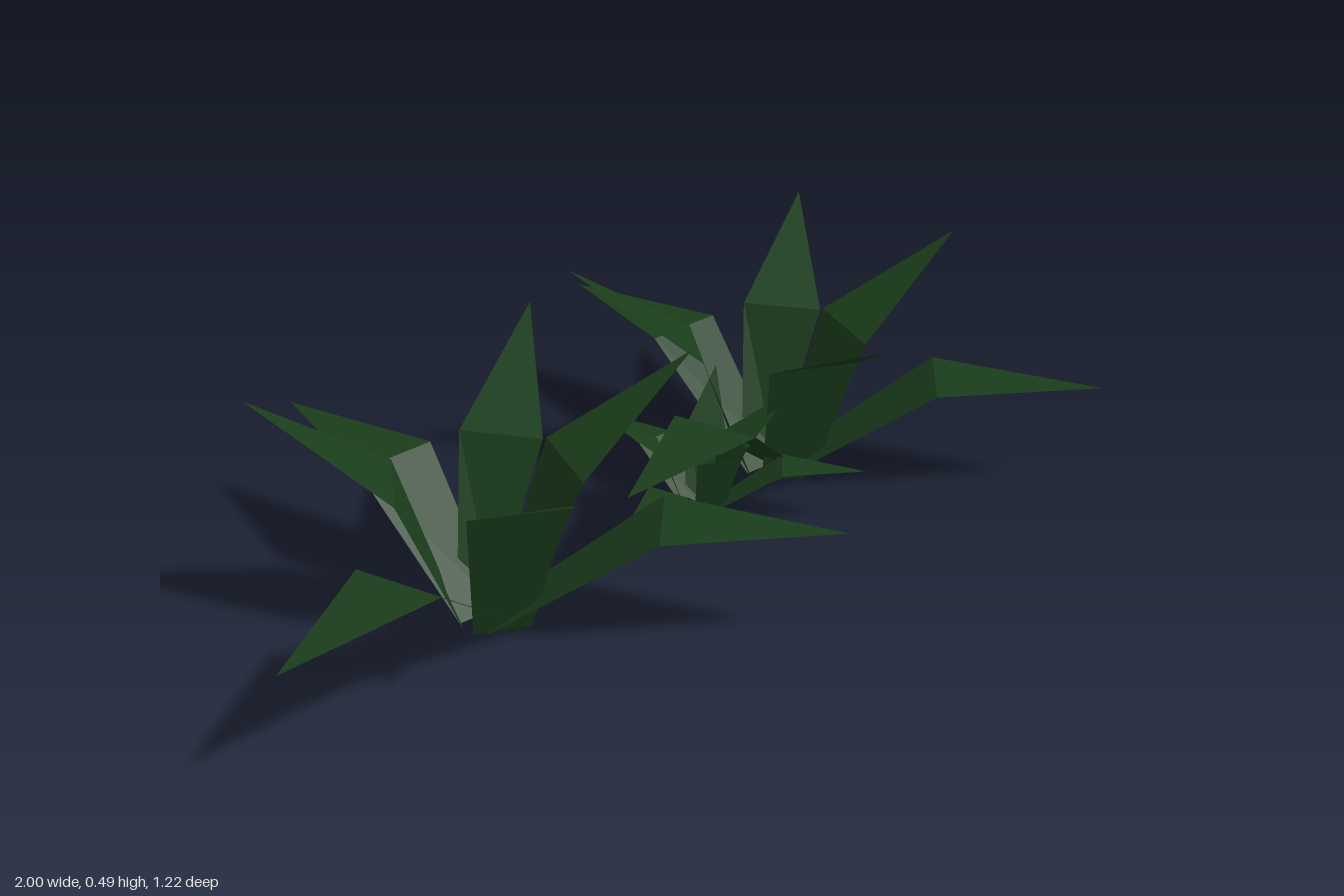
import * as THREE from 'three';

const material = new THREE.MeshStandardMaterial({
  color: 0x1a3d1b, flatShading: true, side: THREE.DoubleSide,
});

// Each leaf in plan (x, z): two base corners, two bend corners, one tip.
const UPPER = { bend: 0.32, tip: 0.49 };
const LOWER = { bend: 0.255, tip: 0.25 };
const LEAVES = [
  ['upperLeafFront', UPPER, [-0.40, 0.06], [-0.295, 0.12], [-0.305, 0.235], [-0.48, 0.135], [-0.52, 0.465]],
  ['upperLeafLeft', UPPER, [-0.335, 0.12], [-0.29, 0.01], [-0.13, 0], [-0.22, 0.19], [0.11, 0.175]],
  ['upperLeafBackLeft', UPPER, [-0.29, 0.005], [-0.345, -0.046], [-0.23, -0.15], [-0.14, 0], [0.055, -0.23]],
  ['upperLeafBackRight', UPPER, [-0.35, -0.046], [-0.40, 0.03], [-0.54, 0], [-0.41, -0.155], [-0.66, -0.29]],
  ['lowerLeafBack', LOWER, [-0.29, 0.02], [-0.39, 0.01], [-0.41, -0.26], [-0.22, -0.25], [-0.295, -0.61]],
  ['lowerLeafRight', LOWER, [-0.32, 0.02], [-0.30, 0.12], [-0.63, 0.225], [-0.67, 0.035], [-1, 0.205]],
  ['lowerLeafFront', LOWER, [-0.30, 0.01], [-0.38, 0.08], [-0.215, 0.385], [-0.055, 0.255], [0.08, 0.61]],
];

// A folded leaf: a rising quad from the base to the bend, then a pointed blade.
function makeLeaf([name, height, base1, base2, bend2, bend1, tip]) {
  const points = [
    [base1, 0], [base2, 0], [bend2, height.bend], [bend1, height.bend], [tip, height.tip],
  ].flatMap(([[x, z], y]) => [x, y, z]);
  const geometry = new THREE.BufferGeometry();
  geometry.setAttribute('position', new THREE.Float32BufferAttribute(points, 3));
  geometry.setIndex([0, 1, 2, 0, 2, 3, 3, 2, 4]);
  geometry.computeVertexNormals();
  const leaf = new THREE.Mesh(geometry, material);
  leaf.name = name;
  return leaf;
}

function makePlant(name, x, z, scale) {
  const plant = new THREE.Group();
  plant.name = name;
  plant.add(...LEAVES.map(makeLeaf));
  plant.position.set(x, 0, z);
  plant.scale.setScalar(scale);
  return plant;
}

export function createModel() {
  const model = new THREE.Group();
  model.name = 'leafyPlants';
  // Two large plants and a half-size one between them
  model.add(
    makePlant('rightPlant', 0, 0, 1),
    makePlant('leftPlant', 0.89, 0, 1),
    makePlant('smallPlant', 0.46, 0.033, 0.5),
  );
  return model;
}
